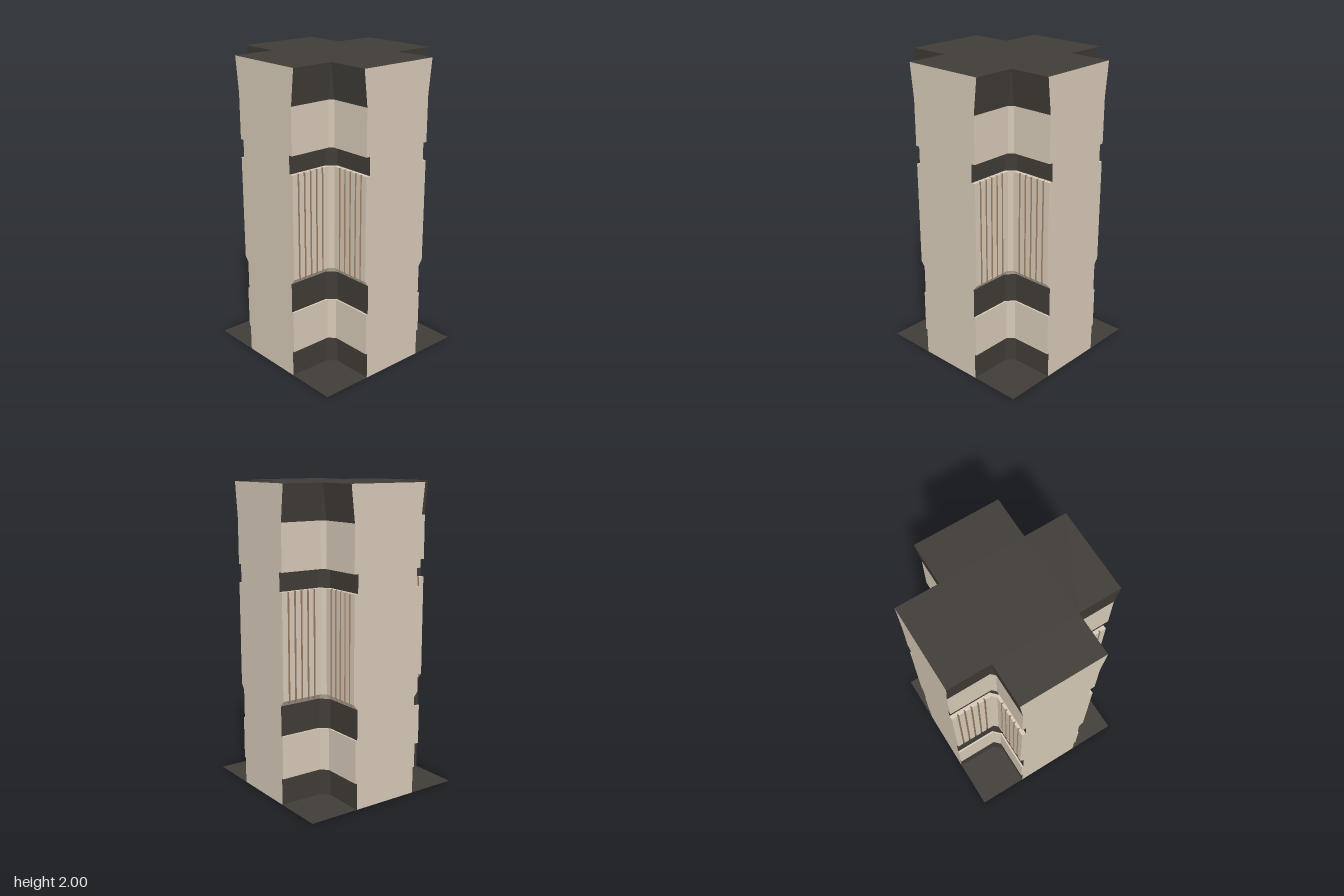
import * as THREE from 'three';

const END = 0.5625;   // distance of the four arm ends from the axis
const CUT = 0.28;     // where the chamfer of each inner corner starts
const FLOOR = 0.237;  // bottom of the vertical grooves
const HALF = 0.006;   // half width of a groove
const GROOVES = [0.517, 0.47, 0.423, 0.376, 0.329];

// height, half width of the arms, part reached by the strip below, grooved
const LEVELS = [
  [0, 0.228],
  [0.175, 0.228, 'darkBands'],
  [0.175, 0.24, 'walls'],
  [0.455, 0.24, 'walls'],
  [0.455, 0.228, 'walls'],
  [0.65, 0.228, 'darkBands'],
  [0.662, FLOOR, 'walls'],
  [0.685, 0.255, 'walls', true],
  [1.362, 0.255, 'walls', true],
  [1.362, 0.228, 'walls'],
  [1.48, 0.228, 'darkBands'],
  [1.48, 0.255, 'walls'],
  [1.775, 0.255, 'walls'],
  [2, CUT, 'darkBands'],
];

// Cross-shaped outline, counter-clockwise from above; every edge has a kind
function outline(a, grooved) {
  const f = grooved ? FLOOR : a;
  const side = [[END, a, 'notch']];
  for (const g of GROOVES) {
    side.push([g + HALF, a, 'groove'], [g, f, 'groove'], [g - HALF, a, 'notch']);
  }
  side.push([CUT, a, 'notch']);
  // The other wall of the notch is the mirror image
  const back = side.map(([u, v]) => [v, u]).reverse();
  const kinds = side.slice(0, -1).map((p) => p[2]).reverse();
  const quarter = [...side, ...back.map((p, i) => [...p, kinds[i] || 'end'])];
  const points = [];
  for (let q = 0; q < 4; q++) {
    for (const [u, v, kind] of quarter) {
      const [x, y] = [[u, v], [-v, u], [-u, -v], [v, -u]][q];
      points.push({ x, y, kind });
    }
  }
  return points;
}

function makeMesh(name, geometry, color, side = THREE.FrontSide) {
  const material = new THREE.MeshStandardMaterial({ color, side, flatShading: true });
  const mesh = new THREE.Mesh(geometry, material);
  mesh.name = name;
  return mesh;
}

export function createModel() {
  const model = new THREE.Group();
  model.name = 'crossTower';
  const BEIGE = 0xd5c8b6, DARK = 0x403c37, BROWN = 0x9a7c60;

  // Loft the outline upward, sorting the faces by part
  const parts = { walls: [], darkBands: [], grooves: [] };
  const rings = LEVELS.map(([y, a, , grooved]) => outline(a, grooved)
    .map((p) => new THREE.Vector3(p.x, y, -p.y)));
  const kinds = outline(0.25, false).map((p) => p.kind);
  const addTriangle = (list, a, b, c) => {
    if (new THREE.Triangle(a, b, c).getArea() < 1e-8) return;
    for (const p of [a, b, c]) list.push(p.x, p.y, p.z);
  };
  for (let i = 1; i < LEVELS.length; i++) {
    const low = rings[i - 1], high = rings[i];
    const [, , part, grooved] = LEVELS[i];
    kinds.forEach((kind, j) => {
      const k = (j + 1) % kinds.length;
      let list = parts[part];
      if (kind === 'end') list = parts.walls;
      if (kind === 'groove' && grooved) list = parts.grooves;
      addTriangle(list, low[j], low[k], high[k]);
      addTriangle(list, low[j], high[k], high[j]);
    });
  }
  const colors = { walls: BEIGE, darkBands: DARK, grooves: BROWN };
  for (const [name, list] of Object.entries(parts)) {
    const geometry = new THREE.BufferGeometry();
    geometry.setAttribute('position', new THREE.Float32BufferAttribute(list, 3));
    geometry.computeVertexNormals();
    model.add(makeMesh(name, geometry, colors[name]));
  }

  // Flat cross-shaped roof
  const [e, c] = [END, CUT];
  const cross = [[e, c], [c, c], [c, e], [-c, e], [-c, c], [-e, c],
    [-e, -c], [-c, -c], [-c, -e], [c, -e], [c, -c], [e, -c]];
  const roofShape = new THREE.Shape(cross.map(([x, y]) => new THREE.Vector2(x, y)));
  const roof = makeMesh('roof', new THREE.ShapeGeometry(roofShape), DARK);
  roof.rotation.x = -Math.PI / 2;
  roof.position.y = 2;
  model.add(roof);

  // Square base sheet
  const base = makeMesh('base', new THREE.PlaneGeometry(2 * END, 2 * END), DARK, THREE.DoubleSide);
  base.rotation.x = -Math.PI / 2;
  model.add(base);

  return model;
}
